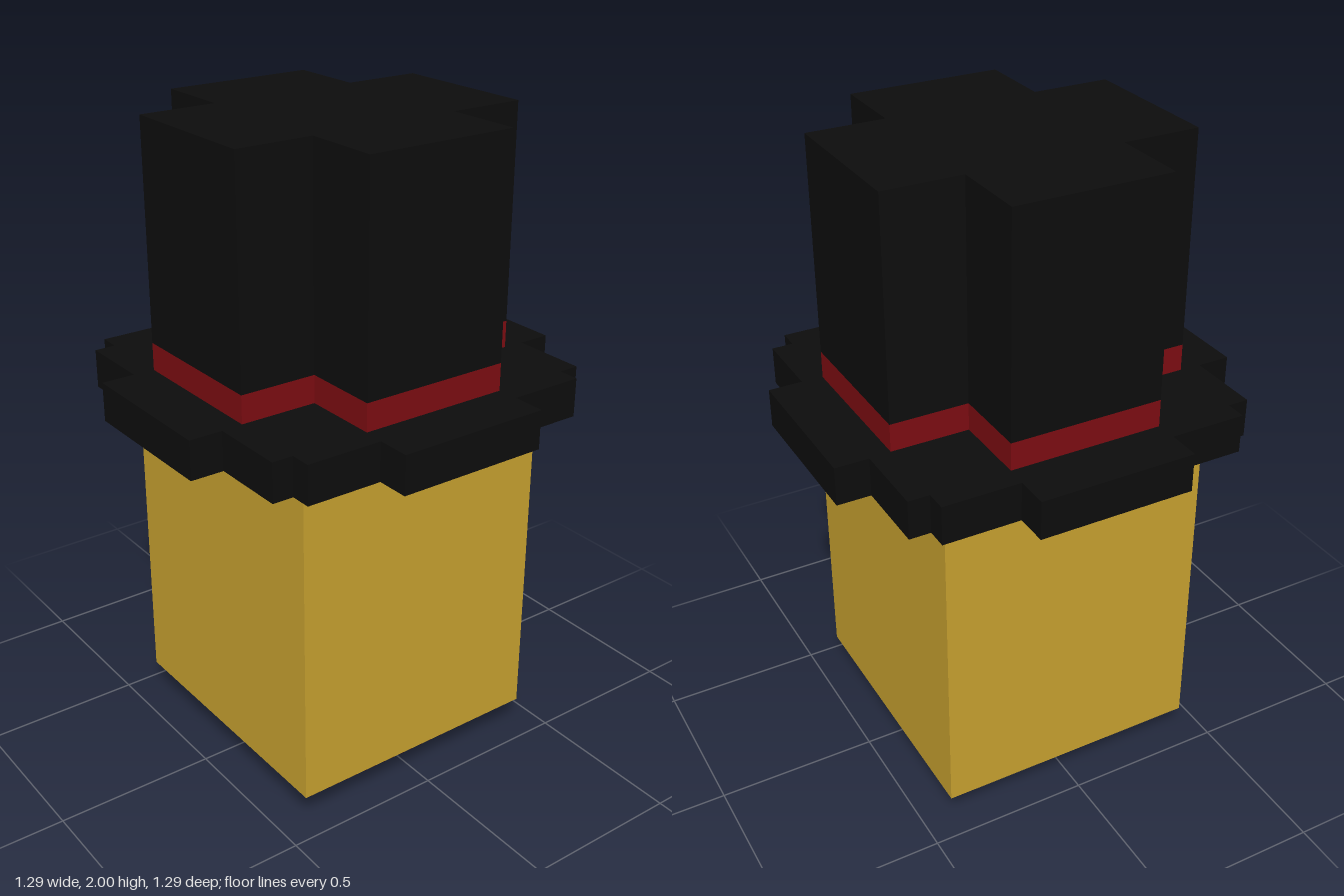
import * as THREE from 'three';

const paint = (color) => new THREE.MeshStandardMaterial({ color, flatShading: true });

// Stepped outline: one quarter of the corners, turned four times
function stepped(quarter, bottom, top) {
  const points = [];
  for (let turn = 0; turn < 4; turn++) {
    for (const [x, y] of quarter) {
      points.push(new THREE.Vector2(x, y).rotateAround(new THREE.Vector2(), turn * Math.PI / 2));
    }
  }
  const geometry = new THREE.ExtrudeGeometry(new THREE.Shape(points), { depth: top - bottom, bevelEnabled: false });
  return geometry.rotateX(-Math.PI / 2).translate(0, bottom, 0);
}

function box(x0, x1, y0, y1, z0, z1) {
  return new THREE.BoxGeometry(x1 - x0, y1 - y0, z1 - z0)
    .translate((x0 + x1) / 2, (y0 + y1) / 2, (z0 + z1) / 2);
}

export function createModel() {
  const model = new THREE.Group();
  const yellow = paint(0xc9a230), red = paint(0x7d0d12), black = paint(0x0d0d0d);
  const add = (name, geometry, material) => {
    const mesh = new THREE.Mesh(geometry, material);
    mesh.name = name;
    model.add(mesh);
  };

  // Body
  const hx = 0.42, hz = 0.44, chinTop = 0.095;
  add('body', box(-hx, hx, chinTop, 1.14, -hz, hz), yellow);

  // Tapered base: red sloping sides around a yellow underside
  const base = box(-hx, hx, 0, chinTop, -hz, hz);
  const p = base.attributes.position;
  for (let i = 0; i < p.count; i++) {
    if (p.getY(i) < 0.01) p.setXYZ(i, Math.sign(p.getX(i)) * 0.225, 0, Math.sign(p.getZ(i)) * 0.345);
  }
  base.computeVertexNormals();
  add('taperedBase', base, [red, red, red, yellow, red, red]);

  // Hat: brim, band and crown
  const cross = [[0.477, 0.237], [0.237, 0.237], [0.237, 0.477]];
  const brim = [[0.645, 0.24], [0.542, 0.24], [0.542, 0.477], [0.477, 0.477], [0.477, 0.542], [0.24, 0.542], [0.24, 0.645]];
  add('hatBrim', stepped(brim, 1.13, 1.25), black);
  add('hatBand', stepped(cross, 1.25, 1.335), red);
  add('hatCrown', stepped(cross, 1.335, 2), black);

  // Fringe steps just under the brim
  for (const [x0, x1, y] of [[-0.42, -0.21, 1.11], [-0.21, 0, 1.07], [0, 0.21, 1.1]]) {
    add('frontFringe', box(x0, x1, y, 1.135, hz - 0.02, hz + 0.003), yellow);
  }
  for (const [x0, x1, y] of [[0, 0.21, 1.07], [-0.42, -0.21, 1.11]]) {
    add('backFringe', box(x0, x1, y, 1.135, -hz - 0.003, -hz + 0.02), black);
  }
  return model;
}
